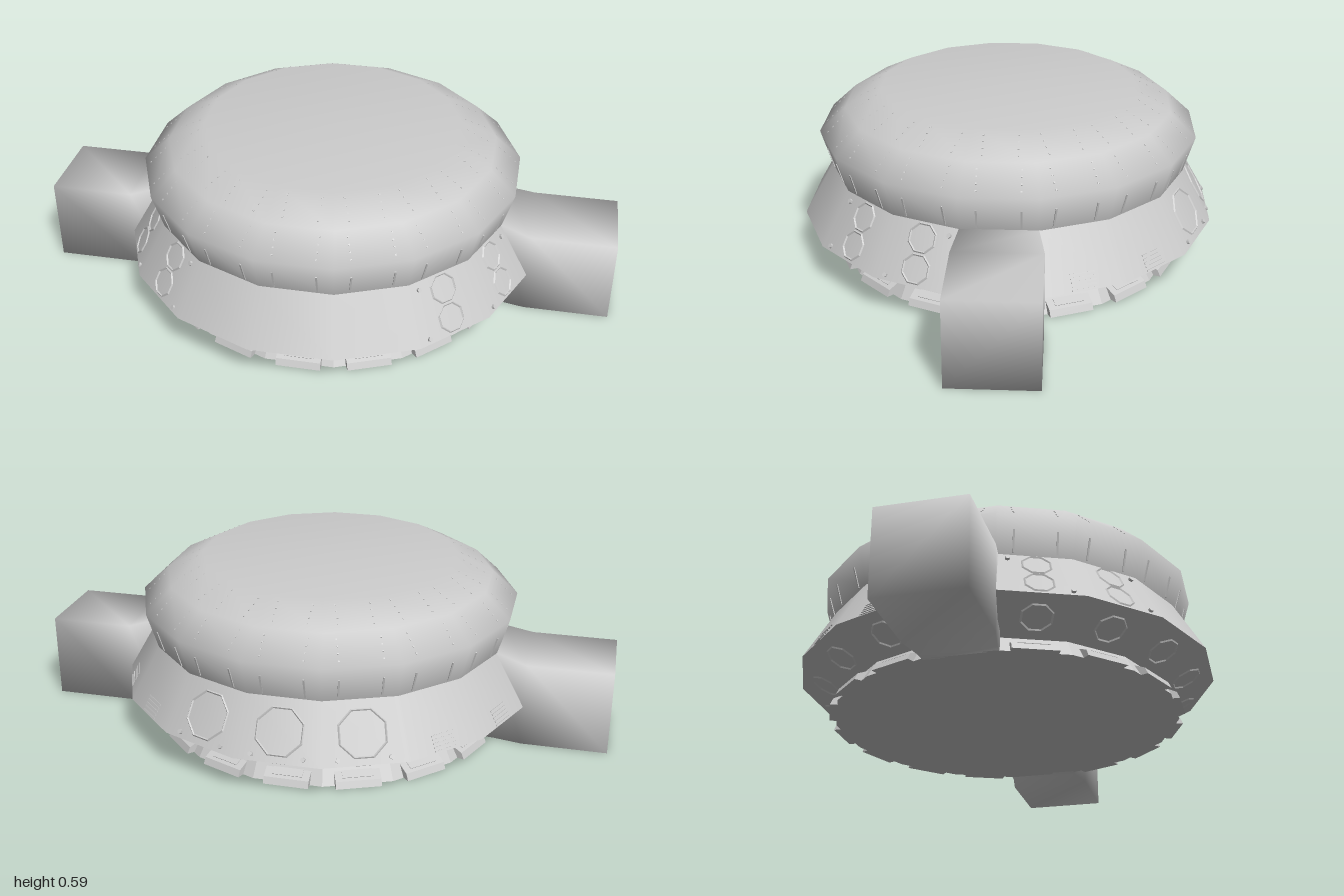
import * as THREE from 'three';

const SIDES = 16;
const STEP = (Math.PI * 2) / SIDES;
const mat = new THREE.MeshStandardMaterial({ color: 0xcccccc });
const flat = new THREE.MeshStandardMaterial({ color: 0xcccccc, flatShading: true });

// Profiles as [distance to the flat of the 16-gon, height], bottom to top
const BASE = [[0.585, 0], [0.55, 0.06]];
const UNDER = [[0.55, 0.06], [0.71, 0.14]];
const SKIRT = [[0.71, 0.14], [0.608, 0.32]];
const UPPER = [[0.608, 0.32], [0.645, 0.445], [0.557, 0.528], [0.435, 0.59], [0, 0.59]];

function shell(name, profile, material = mat) {
  const points = profile.map(([r, y]) => new THREE.Vector2(r / Math.cos(STEP / 2), y));
  const mesh = new THREE.Mesh(new THREE.LatheGeometry(points, SIDES, STEP / 2), material);
  mesh.name = name;
  return mesh;
}

// Puts a mesh on facet k of a sloped band: t runs up the band, u runs sideways
function onFacet(parent, name, geometry, k, [a, b], t, u = 0, lift = 0) {
  const facet = new THREE.Group();
  facet.rotation.y = k * STEP;
  const mesh = new THREE.Mesh(geometry, flat);
  mesh.name = name;
  const dr = b[0] - a[0], dy = b[1] - a[1], len = Math.hypot(dr, dy);
  mesh.position.set(u, a[1] + dy * t - (dr / len) * lift, a[0] + dr * t + (dy / len) * lift);
  mesh.rotation.x = Math.atan2(dr, dy);
  facet.add(mesh);
  parent.add(facet);
}

const ring = (r) => new THREE.TorusGeometry(r, 0.004, 4, 8).rotateZ(Math.PI / 8);

// Side arm: a box that grows out of one facet, lofted with softened normals
function arm() {
  const sections = [[0.57, 0.122, 0.33], [0.61, 0.125, 0.322], [0.71, 0.145, 0.295], [1, 0.145, 0.295]];
  const pos = [], index = [];
  for (const [x, w, h] of sections) pos.push(x, 0, w, x, 0, -w, x, h, -w, x, h, w);
  for (let s = 0; s < sections.length - 1; s++) {
    for (let i = 0; i < 4; i++) {
      const a = s * 4 + i, b = s * 4 + ((i + 1) % 4);
      index.push(a, b, b + 4, a, b + 4, a + 4);
    }
  }
  const e = (sections.length - 1) * 4;
  index.push(e, e + 1, e + 2, e, e + 2, e + 3);
  const g = new THREE.BufferGeometry();
  g.setAttribute('position', new THREE.Float32BufferAttribute(pos, 3));
  g.setIndex(index);
  // Outward winding: the end cap must face +x
  g.computeVertexNormals();
  return g;
}

export function createModel() {
  const model = new THREE.Group();
  model.name = 'roundBuilding';

  // Main stacked shells
  model.add(shell('baseWall', BASE, flat), shell('underside', UNDER, flat));
  model.add(shell('skirt', SKIRT), shell('domedRoof', UPPER));
  const floor = new THREE.Mesh(new THREE.CircleGeometry(0.585 / Math.cos(STEP / 2), SIDES), mat);
  floor.geometry.rotateZ(STEP / 2).rotateX(Math.PI / 2);
  floor.name = 'floor';
  model.add(floor);

  // Arms on both sides
  const armGeometry = arm();
  for (const turn of [0, Math.PI]) {
    const mesh = new THREE.Mesh(armGeometry, mat);
    mesh.rotation.y = turn;
    mesh.name = turn ? 'rightArm' : 'leftArm';
    model.add(mesh);
  }

  // Bays under the skirt: a ring overhead and a sloping sill at the foot
  const bays = new THREE.Group();
  bays.name = 'lowerBays';
  const bayRing = ring(0.052);
  const sillShape = new THREE.Shape([[0.53, 0], [0.61, 0], [0.6, 0.022], [0.55, 0.045], [0.53, 0.045]]
    .map(([r, y]) => new THREE.Vector2(r, y)));
  const sillGeometry = new THREE.ExtrudeGeometry(sillShape, { depth: 0.15, bevelEnabled: false })
    .translate(0, 0, -0.075).rotateY(-Math.PI / 2);
  const panel = new THREE.BoxGeometry(0.1, 0.03, 0.004);
  for (let k = 0; k < SIDES; k++) {
    if (k % 8 === 4) continue;
    onFacet(bays, 'bayRing', bayRing, k, UNDER, 0.48);
    const sill = new THREE.Mesh(sillGeometry, flat);
    sill.rotation.y = k * STEP;
    sill.name = 'baySill';
    bays.add(sill);
    onFacet(bays, 'sillPanel', panel, k, [[0.6, 0.022], [0.55, 0.045]], 0.5);
  }
  model.add(bays);

  // Rings and bolts on the skirt
  const fittings = new THREE.Group();
  fittings.name = 'skirtFittings';
  const smallRing = ring(0.048), bigRing = ring(0.08);
  const bolt = new THREE.CylinderGeometry(0.008, 0.008, 0.016, 6).rotateX(Math.PI / 2);
  for (const k of [2, 3, 13, 14]) {
    onFacet(fittings, 'smallRing', smallRing, k, SKIRT, 0.27);
    onFacet(fittings, 'smallRing', smallRing, k, SKIRT, 0.75);
    const s = k < 8 ? 1 : -1;
    onFacet(fittings, 'bolt', bolt, k, SKIRT, 0.87, s * (k % 8 === 3 || k === 13 ? 0.09 : -0.09));
    onFacet(fittings, 'bolt', bolt, k, SKIRT, 0.08, s * -0.1);
  }
  for (const k of [7, 8, 9]) {
    onFacet(fittings, 'bigRing', bigRing, k, SKIRT, 0.48);
    for (const u of [-0.085, 0.085]) onFacet(fittings, 'bolt', bolt, k, SKIRT, 0.1, u);
  }

  // Small grilles on the rear corners
  const slat = new THREE.BoxGeometry(0.085, 0.005, 0.006);
  for (const k of [5, 6, 10, 11]) {
    for (let i = 0; i < 5; i++) onFacet(fittings, 'grilleSlat', slat, k, SKIRT, 0.03 + i * 0.06);
  }
  model.add(fittings);

  // Thin ribs below the eaves and rows of studs over the roof
  const trim = new THREE.Group();
  trim.name = 'roofTrim';
  const rib = new THREE.BoxGeometry(0.006, 0.075, 0.006);
  const stud = new THREE.BoxGeometry(0.005, 0.005, 0.003);
  for (let k = 0; k < SIDES; k++) {
    for (const u of [-0.07, 0.07]) {
      onFacet(trim, 'rib', rib, k, [UPPER[0], UPPER[1]], 0.35, u);
      for (let i = 1; i < 5; i++) {
        onFacet(trim, 'stud', stud, k, [UPPER[1], UPPER[2]], i / 5, u);
        onFacet(trim, 'stud', stud, k, [UPPER[2], UPPER[3]], i / 5, u * 0.8);
      }
    }
  }
  model.add(trim);
  return model;
}
